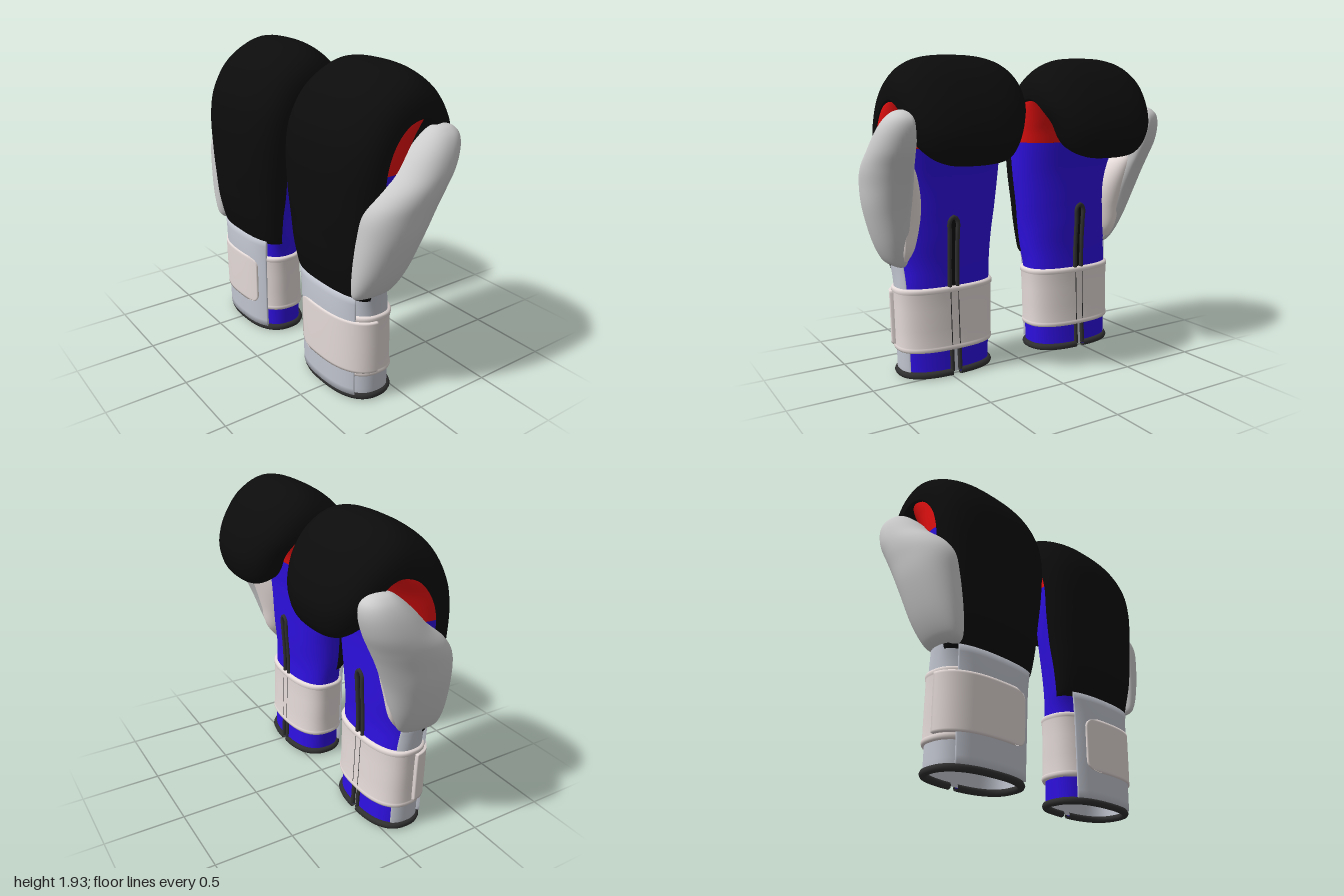
import * as THREE from 'three';

const COLORS = { black: 0x0c0c0c, blue: 0x2e10e0, red: 0xe41010, thumb: 0xdedde0, strap: 0xe4dad8,
  web: 0xece2df, cuff: 0xc2c6d0, rim: 0x303030 };
const TAU = Math.PI * 2;
const CZ = 0.47; // centre line of the palm slit

const pw = (v, n) => Math.sign(v) * Math.abs(v) ** (2 / n);

// Smooth in-between rows of a numeric table (Catmull-Rom)
function smooth(table, k = 6) {
  const out = [];
  for (let i = 0; i < table.length - 1; i++) {
    const p = table[Math.max(i - 1, 0)], a = table[i], b = table[i + 1], q = table[Math.min(i + 2, table.length - 1)];
    for (let s = 0; s < k; s++) {
      const t = s / k;
      out.push(a.map((v, c) => v + 0.5 * t * (b[c] - p[c] + t * (2 * p[c] - 5 * v + 4 * b[c] - q[c] + t * (3 * (v - b[c]) + q[c] - p[c])))));
    }
  }
  out.push(table[table.length - 1]);
  return out;
}

// Horizontal rounded section; a grows from the palm (+x) to the thumb side (+z)
function ringPoint([y, x0, xc, x1, z0, zc, z1], a, n = 2.5, off = 0) {
  const c = pw(Math.cos(a), n), s = pw(Math.sin(a), n);
  return new THREE.Vector3(xc + c * ((c > 0 ? x1 - xc : xc - x0) + off), y, zc + s * ((s > 0 ? z1 - zc : zc - z0) + off));
}
const ring = (row, n, off = 0, seg = 56) => Array.from({ length: seg }, (_, j) => ringPoint(row, j / seg * TAU, n, off));

// Skin over rows of points
function loft(rows, { closed = true, start = false, end = false } = {}) {
  const m = rows[0].length, pos = [], idx = [];
  rows.forEach(r => r.forEach(p => pos.push(p.x, p.y, p.z)));
  for (let i = 0; i < rows.length - 1; i++) for (let j = 0; j < (closed ? m : m - 1); j++) {
    const k = (j + 1) % m, a = i * m + j, b = i * m + k, c = b + m, d = a + m;
    idx.push(a, d, c, a, c, b);
  }
  const cap = (r, base, flip) => {
    const c = r.reduce((s, p) => s.add(p), new THREE.Vector3()).divideScalar(m), ci = pos.length / 3;
    pos.push(c.x, c.y, c.z);
    for (let j = 0; j < m; j++) {
      const k = (j + 1) % m;
      idx.push(ci, base + (flip ? j : k), base + (flip ? k : j));
    }
  };
  if (start) cap(rows[0], 0, true);
  if (end) cap(rows[rows.length - 1], (rows.length - 1) * m, false);
  const g = new THREE.BufferGeometry();
  g.setAttribute('position', new THREE.Float32BufferAttribute(pos, 3));
  g.setIndex(idx);
  g.computeVertexNormals();
  return g;
}

// Cuff and palm sections: y, back x, seam x, palm x, inner z, centre z, outer z
const BODY = smooth([
  [0.02, -0.31, -0.14, 0.03, 0.18, CZ, 0.765], [0.3, -0.315, -0.14, 0.015, 0.17, CZ, 0.77],
  [0.56, -0.315, -0.15, 0.005, 0.16, CZ, 0.775], [0.7, -0.305, -0.19, 0.005, 0.14, CZ, 0.785],
  [0.85, -0.29, -0.21, 0.015, 0.12, CZ, 0.81], [1.0, -0.28, -0.2, 0.02, 0.1, CZ, 0.83],
  [1.2, -0.28, -0.2, 0.03, 0.075, CZ, 0.845], [1.4, -0.28, -0.2, 0.06, 0.06, CZ, 0.86]], 10);

// Section at any height
function at(y) {
  const i = Math.max(1, BODY.findIndex(r => r[0] >= y)), a = BODY[i - 1], b = BODY[i];
  const t = (y - a[0]) / (b[0] - a[0]);
  return a.map((v, c) => v + (b[c] - v) * t);
}

// Layer wrapped on the cuff: profile of [y, offset]; endFn trims the last angle
function band(profile, a0, a1, endFn = () => 0) {
  return loft(profile.map(([y, off]) => {
    const row = at(y), e = a1 - endFn(y), pts = [ringPoint(row, a0, 2.5, 0)];
    for (let j = 0; j <= 40; j++) pts.push(ringPoint(row, a0 + (e - a0) * j / 40, 2.5, off));
    pts.push(ringPoint(row, e, 2.5, 0));
    return pts;
  }), { closed: false });
}
const span = (y0, y1, off, k = 12) => [[y0, 0], ...Array.from({ length: k + 1 }, (_, i) => [y0 + (y1 - y0) * i / k, off]), [y1, 0]];
const rad = d => d * Math.PI / 180;

// All parts of the glove on the +z side: [name, geometry, colour]
function gloveParts() {
  const parts = [];
  const add = (name, geo, color) => parts.push([name, geo, color]);

  // Blue palm and cuff, split by the slit
  add('palm', loft(BODY.map(row => {
    const gap = row[0] < 0.975 ? 0.042 : 0;
    return Array.from({ length: 65 }, (_, j) => ringPoint(row, gap + (TAU - 2 * gap) * j / 64));
  }), { closed: false }), 'blue');

  // Red hollow of the hand
  add('gripPanel', loft(smooth([
    [1.4, -0.28, -0.2, 0.06, 0.06, CZ, 0.86], [1.48, -0.27, -0.18, 0.085, 0.06, CZ, 0.862],
    [1.56, -0.25, -0.15, 0.13, 0.06, CZ, 0.862], [1.63, -0.2, -0.085, 0.165, 0.063, CZ, 0.862],
    [1.675, -0.12, -0.01, 0.18, 0.068, CZ, 0.858]]).map(r => ring(r, 2.5)), { end: true }), 'red');

  // Black padding: seam x, y, outer x, y, inner z, outer z along the curl
  add('padding', loft(smooth([
    [-0.2, 0.66, -0.31, 0.66, 0.148, 0.78], [-0.21, 0.7, -0.335, 0.7, 0.138, 0.787],
    [-0.21, 0.85, -0.37, 0.85, 0.118, 0.812],
    [-0.2, 1.0, -0.385, 1.0, 0.098, 0.832], [-0.2, 1.2, -0.398, 1.2, 0.073, 0.847],
    [-0.2, 1.4, -0.395, 1.43, 0.058, 0.862], [-0.16, 1.54, -0.355, 1.62, 0.053, 0.868],
    [-0.08, 1.64, -0.23, 1.81, 0.053, 0.87], [0.02, 1.68, 0, 1.93, 0.053, 0.87],
    [0.1, 1.66, 0.19, 1.855, 0.06, 0.865], [0.16, 1.6, 0.325, 1.69, 0.08, 0.85],
    [0.19, 1.53, 0.39, 1.52, 0.12, 0.83], [0.2, 1.44, 0.385, 1.4, 0.16, 0.79],
    [0.215, 1.38, 0.35, 1.33, 0.21, 0.73], [0.25, 1.345, 0.3, 1.312, 0.29, 0.66]])
    .map(([ix, iy, ox, oy, z0, z1]) => Array.from({ length: 56 }, (_, j) => {
      const a = j / 56 * TAU, s = pw(Math.sin(a), 2.6), d = s > 0 ? s : s * 0.15;
      return new THREE.Vector3(ix + (ox - ix) * d, iy + (oy - iy) * d, (z0 + z1) / 2 + pw(Math.cos(a), 2.6) * (z1 - z0) / 2);
    })), { start: true, end: true }), 'black');

  // Thumb and the web joining it to the palm: y, x0, x1, z inner, z middle, z outer
  const oval = r => ring([r[0], r[1], (r[1] + r[2]) / 2, r[2], r[3], r[4], r[5]], 2.2);
  add('thumb', loft(smooth([
    [0.68, -0.3, -0.1, 0.73, 0.75, 0.77], [0.72, -0.33, -0.05, 0.71, 0.76, 0.83],
    [0.85, -0.338, 0.015, 0.7, 0.78, 0.9], [1.05, -0.33, 0.085, 0.71, 0.8, 0.965],
    [1.2, -0.312, 0.15, 0.73, 0.815, 0.99], [1.3, -0.25, 0.2, 0.755, 0.82, 1.0],
    [1.4, -0.13, 0.25, 0.77, 0.83, 0.995], [1.5, -0.035, 0.28, 0.775, 0.835, 0.975],
    [1.57, 0.04, 0.277, 0.785, 0.84, 0.945], [1.61, 0.095, 0.24, 0.805, 0.845, 0.905],
    [1.625, 0.14, 0.19, 0.835, 0.85, 0.865]]).map(oval), { start: true, end: true }), 'thumb');
  add('thumbWeb', loft(smooth([
    [0.7, -0.28, -0.07, 0.73, 0.76, 0.77], [0.8, -0.28, 0.005, 0.68, 0.77, 0.8],
    [0.95, -0.28, 0.045, 0.65, 0.78, 0.82], [1.1, -0.25, 0.09, 0.66, 0.79, 0.83],
    [1.25, -0.2, 0.14, 0.71, 0.8, 0.83], [1.35, -0.1, 0.17, 0.78, 0.81, 0.83]]).map(oval), { start: true, end: true }), 'web');

  // Lining, grey cuff side, wrist strap with raised borders, back cover and strap end
  add('lining', loft(BODY.filter(r => r[0] < 0.5).map(r => ring(r, 2.5, -0.014)), { end: true }), 'cuff');
  add('cuffSide', band(span(0.03, 0.71, 0.004, 16), rad(62), rad(215)), 'cuff');
  const strapRows = [[0.165, 0], [0.168, 0.016], [0.18, 0.021], [0.194, 0.02], [0.198, 0.015],
    [0.3, 0.015], [0.42, 0.015], [0.525, 0.015], [0.529, 0.02], [0.545, 0.021], [0.556, 0.016], [0.56, 0]];
  add('strap', loft(strapRows.map(([y, o]) => ring(at(y), 2.5, o, 80))), 'strap');
  add('backCover', band(span(0.04, 0.68, 0.025, 16), rad(130), rad(228)), 'cuff');
  const corner = y => { // rounded strap end
    const d = Math.max(0, Math.abs(y - 0.365) - 0.105) / 0.06;
    return 0.3 * (1 - Math.sqrt(Math.max(0, 1 - d * d)));
  };
  add('strapEnd', band(span(0.2, 0.53, 0.034, 24), rad(95), rad(212), corner), 'strap');

  // Dark binding round the opening and the slit
  const tube = (pts, r, seg) => new THREE.TubeGeometry(new THREE.CatmullRomCurve3(pts), seg, r, 8);
  add('openingBinding', tube(Array.from({ length: 49 }, (_, j) =>
    ringPoint(at(0.024), 0.05 + (TAU - 0.1) * j / 48)), 0.022, 120), 'rim');
  const side = [0.03, 0.15, 0.3, 0.45, 0.6, 0.75, 0.88, 0.96];
  const edge = (y, s) => new THREE.Vector3(at(y)[3] + 0.002, y, CZ + s * 0.026);
  add('slitBinding', tube([...side.map(y => edge(y, 1)), new THREE.Vector3(0.021, 0.985, CZ),
    ...side.reverse().map(y => edge(y, -1))], 0.014, 100), 'rim');
  add('slitTongue', new THREE.BoxGeometry(0.01, 0.42, 0.06).translate(-0.002, 0.77, CZ), 'black');
  return parts;
}

function mirrored(geo) {
  const g = geo.clone().scale(1, 1, -1), ix = g.index.array;
  for (let i = 0; i < ix.length; i += 3) [ix[i], ix[i + 1]] = [ix[i + 1], ix[i]];
  return g;
}

export function createModel() {
  const model = new THREE.Group();
  model.name = 'boxingGloves';
  const mats = {};
  for (const k in COLORS) mats[k] = new THREE.MeshStandardMaterial({ color: COLORS[k], side: THREE.DoubleSide });
  const parts = gloveParts();
  for (const flip of [false, true]) {
    const glove = new THREE.Group();
    glove.name = flip ? 'rearGlove' : 'frontGlove';
    for (const [name, geo, color] of parts) {
      const mesh = new THREE.Mesh(flip ? mirrored(geo) : geo, mats[color]);
      mesh.name = name;
      glove.add(mesh);
    }
    model.add(glove);
  }
  return model;
}
